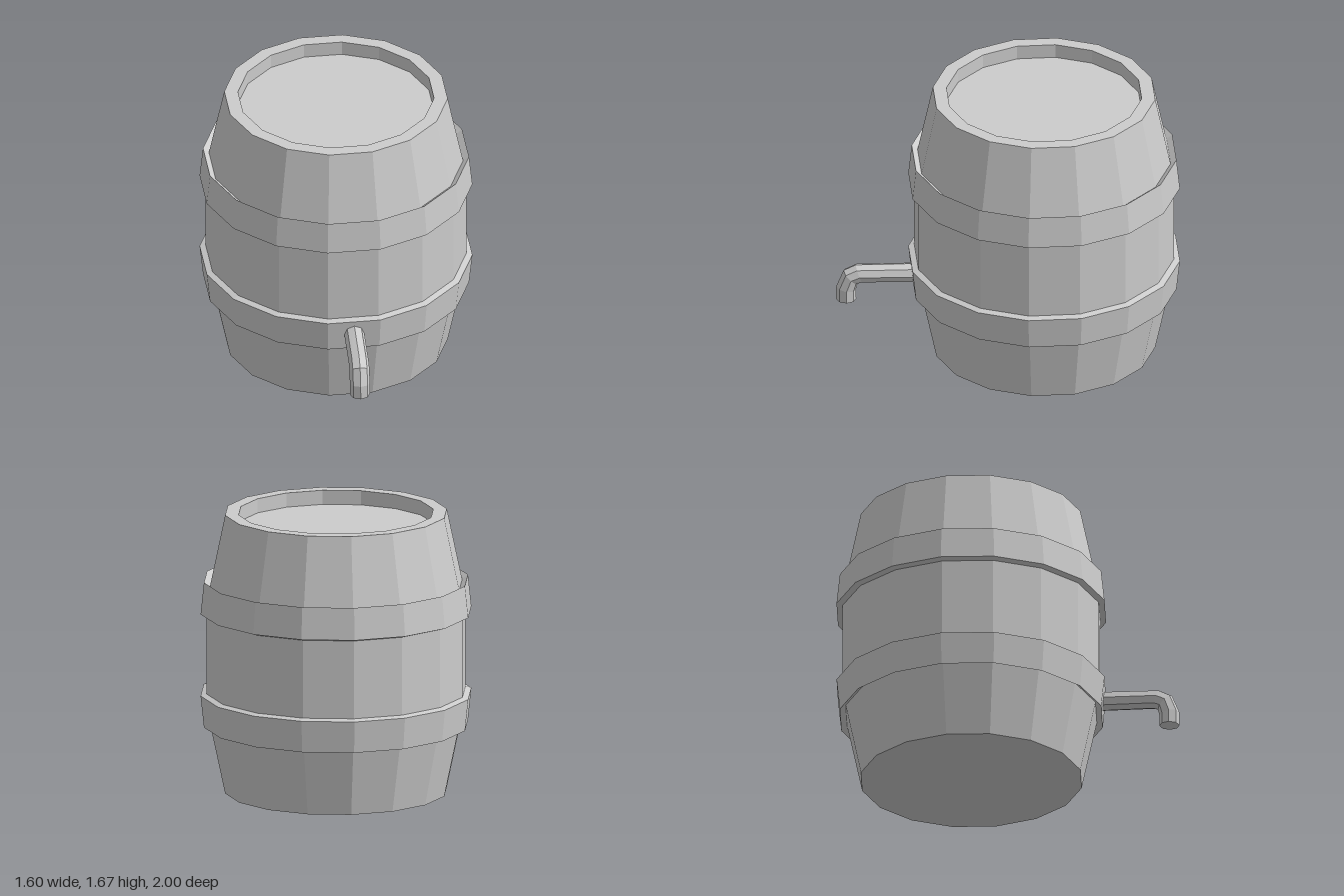
import * as THREE from 'three';

const SIDES = 16;
const HEIGHT = 1.67;

export function createModel() {
  const group = new THREE.Group();
  const material = new THREE.MeshStandardMaterial({ color: 0xcccccc, flatShading: true });

  const add = (name, geometry, parent) => {
    const mesh = new THREE.Mesh(geometry, material);
    mesh.name = name;
    parent.add(mesh);
    return mesh;
  };
  const lathe = (points) =>
    new THREE.LatheGeometry(points.map(([r, y]) => new THREE.Vector2(r, y)), SIDES);

  // Barrel sits behind the centre, leaving room for the spout
  const barrel = new THREE.Group();
  barrel.name = 'barrel';
  barrel.position.z = -0.2;
  group.add(barrel);

  // Staved body with a recessed lid
  add('body', lathe([
    [0, 0], [0.655, 0], [0.765, 0.52], [0.765, HEIGHT - 0.52],
    [0.655, HEIGHT], [0.575, HEIGHT], [0.575, 1.585], [0, 1.585],
  ]), barrel);

  // Two hoops, mirrored about the middle of the barrel
  const hoop = [[0.742, 0.43], [0.78, 0.4], [0.8, 0.59], [0.76, 0.603]];
  add('lowerHoop', lathe(hoop), barrel);
  add('upperHoop', lathe(hoop.map(([r, y]) => [r, HEIGHT - y]).reverse()), barrel);

  // Bent spout, pointing out from the lower hoop
  const spout = add('spout', spoutGeometry(), group);
  spout.position.set(0.153, 0, 0.56);
  spout.rotation.y = 0.145;

  return group;
}

// Octagonal pipe swept through tilted rings: [z, y, tilt in degrees]
function spoutGeometry() {
  const rings = [[-0.06, 0.5, 0], [0.31, 0.5, 20], [0.36, 0.478, 45], [0.386, 0.405, 80], [0.386, 0.33, 90]];
  const n = 8, radius = 0.059;
  const positions = [], index = [];
  for (const [z, y, tilt] of rings) {
    const t = THREE.MathUtils.degToRad(tilt);
    for (let i = 0; i < n; i++) {
      const a = (i / n) * Math.PI * 2;
      const up = Math.cos(a) * radius;
      positions.push(Math.sin(a) * radius, y + up * Math.cos(t), z + up * Math.sin(t));
    }
  }
  for (let k = 0; k < rings.length - 1; k++) {
    for (let i = 0; i < n; i++) {
      const a = k * n + i, b = k * n + (i + 1) % n;
      index.push(a, a + n, b, b, a + n, b + n);
    }
  }
  // End caps
  const last = (rings.length - 1) * n;
  for (let i = 1; i < n - 1; i++) {
    index.push(0, i, i + 1);
    index.push(last, last + i + 1, last + i);
  }
  const geometry = new THREE.BufferGeometry();
  geometry.setAttribute('position', new THREE.Float32BufferAttribute(positions, 3));
  geometry.setIndex(index);
  geometry.computeVertexNormals();
  return geometry;
}
